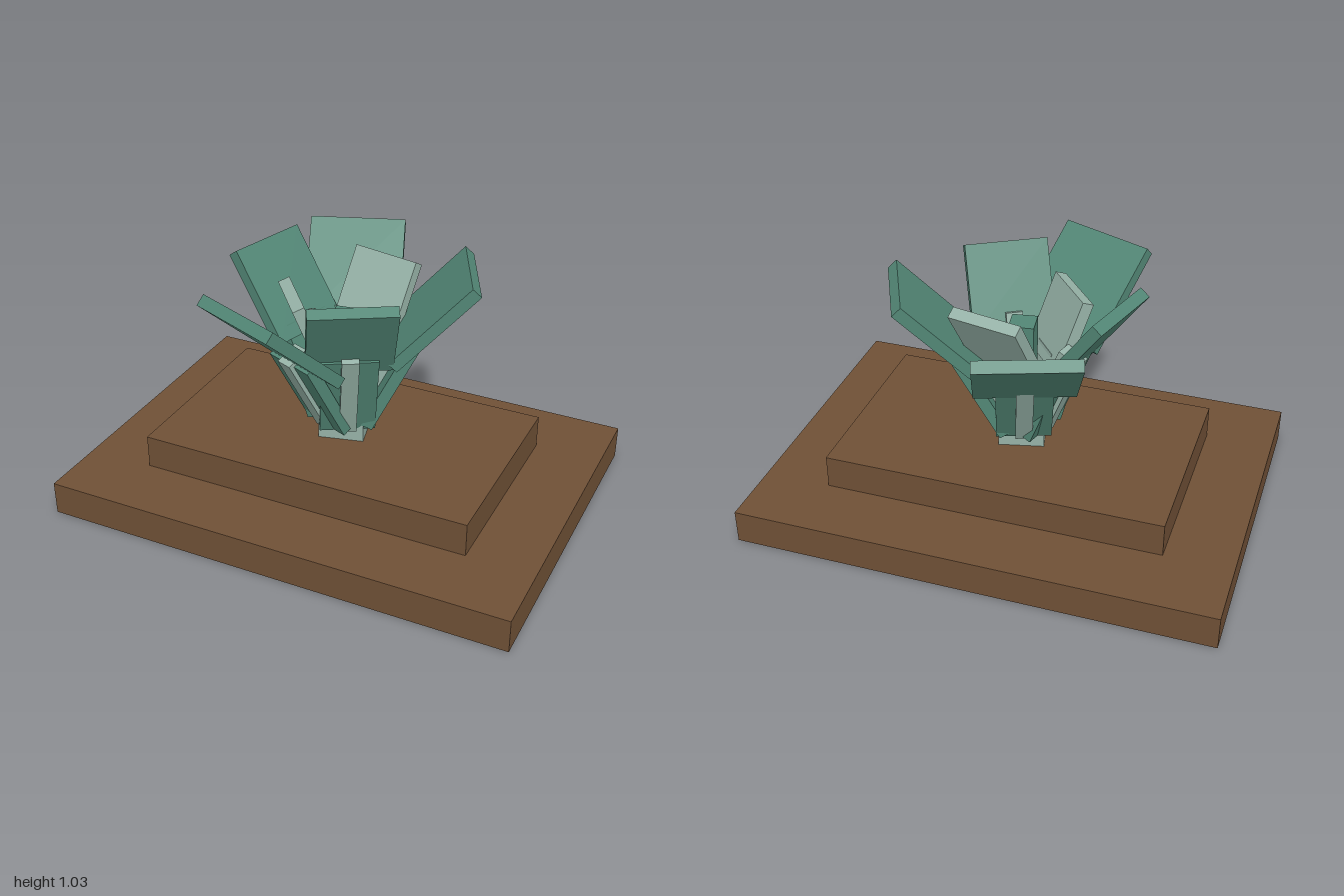
import * as THREE from 'three';

export function createModel() {
  const model = new THREE.Group();
  const wood = new THREE.MeshStandardMaterial({ name: 'brown wood', color: 0x6f5036 });
  const leaf = new THREE.MeshStandardMaterial({ name: 'dark leaf green', color: 0x528675 });
  const pale = new THREE.MeshStandardMaterial({ name: 'pale green', color: 0x96b2a7 });

  // Upright box standing on y
  function block(name, mat, w, h, d, y, turn = 0) {
    const mesh = new THREE.Mesh(new THREE.BoxGeometry(w, h, d), mat);
    mesh.name = name;
    mesh.position.y = y + h / 2;
    mesh.rotation.y = turn;
    model.add(mesh);
  }

  // Slab leaning outward (+z); its outer top edge sits at radius r, height y
  function slab(parent, name, mat, w, len, t, r, y, tilt) {
    const geo = new THREE.BoxGeometry(w, len, t).translate(0, -len / 2, -t / 2);
    const mesh = new THREE.Mesh(geo, mat);
    mesh.name = name;
    mesh.position.set(0, y, r);
    mesh.rotation.x = THREE.MathUtils.degToRad(tilt);
    parent.add(mesh);
  }

  // Slab that starts at radius r, height y instead
  function risingSlab(parent, name, mat, w, len, t, r, y, tilt) {
    const a = THREE.MathUtils.degToRad(tilt);
    slab(parent, name, mat, w, len, t, r + len * Math.sin(a), y + len * Math.cos(a), tilt);
  }

  function spoke(name, x, z) {
    const group = new THREE.Group();
    group.name = name;
    group.rotation.y = Math.atan2(x, z);
    model.add(group);
    return group;
  }

  // Stepped base, stem and central bud
  block('lowerBase', wood, 2, 0.143, 1.43, 0);
  block('upperBase', wood, 1.43, 0.143, 0.857, 0.143);
  block('stem', pale, 0.19, 0.14, 0.19, 0.286, 0.24);
  block('bud', leaf, 0.105, 0.45, 0.105, 0.38, 0.15);

  // Outer leaves: direction, panel width, length, tip radius, tip height, tilt, stalk tilt
  const leaves = [
    [-0.34, -0.94, 0.41, 0.47, 0.605, 0.965, 46, 28],
    [0.90, -0.42, 0.40, 0.46, 0.525, 1.0, 44, 27],
    [0.50, 0.86, 0.35, 0.38, 0.38, 1.0, 29, 19],
    [-0.38, 0.92, 0.42, 0.48, 0.575, 0.98, 47, 28],
    [-0.96, -0.27, 0.36, 0.42, 0.47, 1.005, 36, 22],
  ];
  for (const [x, z, w, len, r, y, tilt, lower] of leaves) {
    const group = spoke('outerLeaf', x, z);
    slab(group, 'leafPanel', leaf, w, len, 0.05, r, y, tilt);
    risingSlab(group, 'leafStalk', leaf, 0.23, 0.41, 0.05, 0.11, 0.345, lower);
    risingSlab(group, 'leafRib', pale, 0.07, 0.42, 0.1, 0.13, 0.345, lower);
  }

  // Inner pale leaves
  const back = spoke('innerBackLeaf', 0.2, -0.98);
  slab(back, 'innerPanel', pale, 0.3, 0.36, 0.05, 0.32, 0.965, 31);
  risingSlab(back, 'innerStalk', pale, 0.14, 0.34, 0.04, 0.07, 0.37, 16);
  const front = spoke('innerFrontLeaf', -0.77, 0.63);
  slab(front, 'innerPanel', pale, 0.285, 0.33, 0.05, 0.245, 0.93, 21);
  risingSlab(front, 'innerStalk', pale, 0.14, 0.32, 0.04, 0.07, 0.37, 12);

  return model;
}
